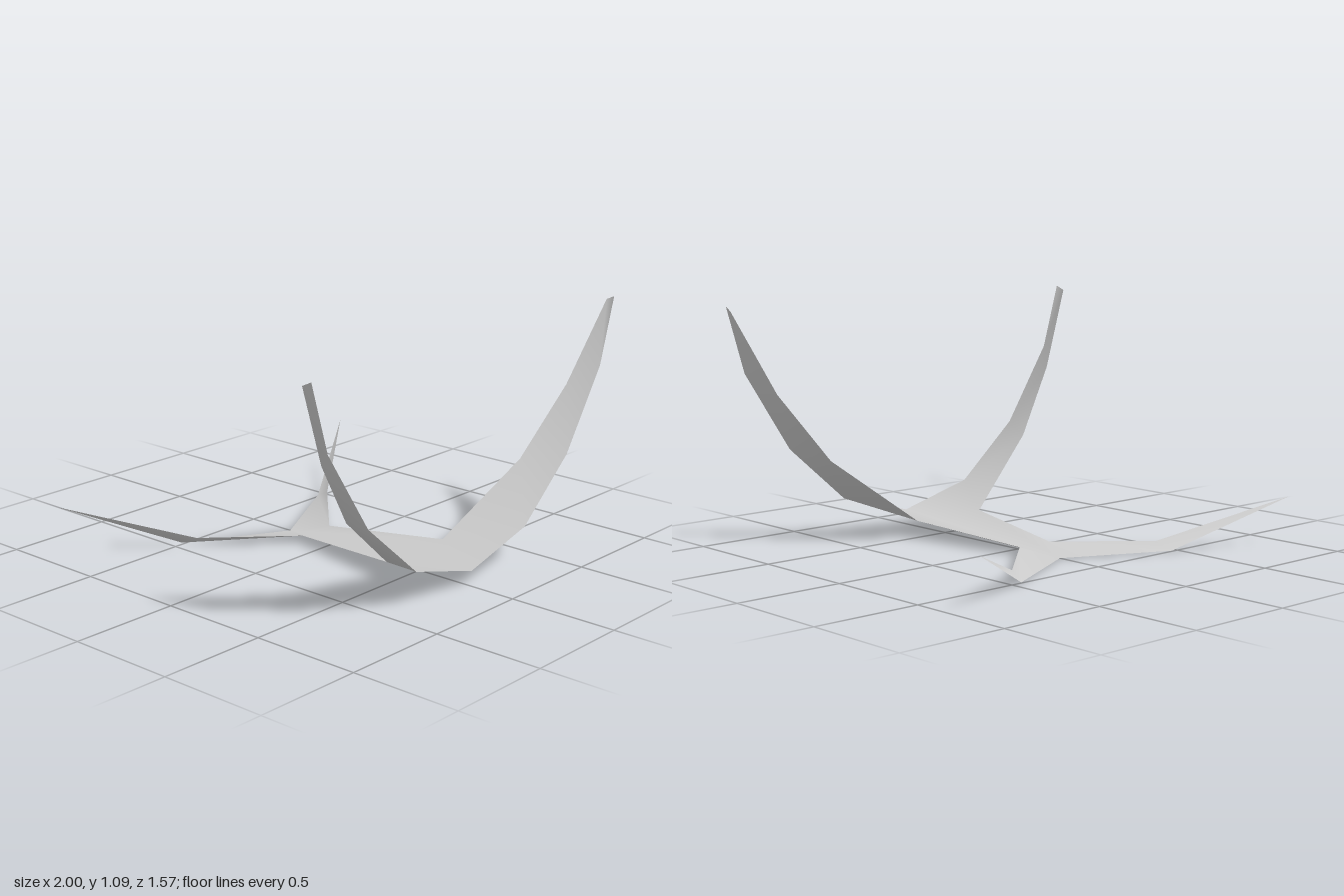
import * as THREE from 'three';
import { mergeVertices } from 'three/addons/utils/BufferGeometryUtils.js';

// Joints shared by neighbouring parts of the thin shell
const noseCentre = [0, 0.07, 0.785];
const wingFront = [0.37, 0.17, 0.785];
const wingBack = [0.19, 0.085, 0.475];
const waist = [0.09, 0.037, -0.105];
const notch = [0, 0, -0.265];

// Each strip lists its cross-sections as pairs of edge points, for the +x half
const body = [[noseCentre, wingFront], [noseCentre, wingBack], [notch, waist]];
const wing = [
  [wingBack, wingFront],
  [[0.585, 0.39, 0.595], [0.67, 0.43, 0.785]],
  [[0.815, 0.70, 0.67], [0.905, 0.79, 0.785]],
  [[1, 1.07, 0.743], [0.995, 1.09, 0.785]],
];
const tailTip = [0.93, 0.23, -0.785];
const tail = [
  [notch, waist],
  [[0.455, 0.005, -0.507], [0.435, 0.04, -0.43]],
  [tailTip, tailTip],
];

// Adds the triangles between successive cross-sections, skipping collapsed ones
function addStrip(out, rows, side) {
  const triangle = (a, b, c) => {
    if (a === b || b === c || c === a) return;
    const corners = side > 0 ? [a, b, c] : [a, c, b];
    for (const [x, y, z] of corners) out.push(x * side, y, z);
  };
  for (let i = 0; i < rows.length - 1; i++) {
    const [a0, a1] = rows[i];
    const [b0, b1] = rows[i + 1];
    triangle(a0, a1, b0);
    triangle(a1, b1, b0);
  }
}

export function createModel() {
  const group = new THREE.Group();
  const grey = new THREE.MeshStandardMaterial({ color: 0xcccccc, side: THREE.DoubleSide });
  grey.name = 'light grey';

  // Body, swept-up wings and forked tail form one smooth continuous sheet
  const positions = [];
  for (const side of [1, -1]) {
    for (const rows of [body, wing, tail]) addStrip(positions, rows, side);
  }
  let geometry = new THREE.BufferGeometry();
  geometry.setAttribute('position', new THREE.Float32BufferAttribute(positions, 3));
  geometry = mergeVertices(geometry);
  geometry.computeVertexNormals();

  const shell = new THREE.Mesh(geometry, grey);
  shell.name = 'wingedShell';
  group.add(shell);
  return group;
}
